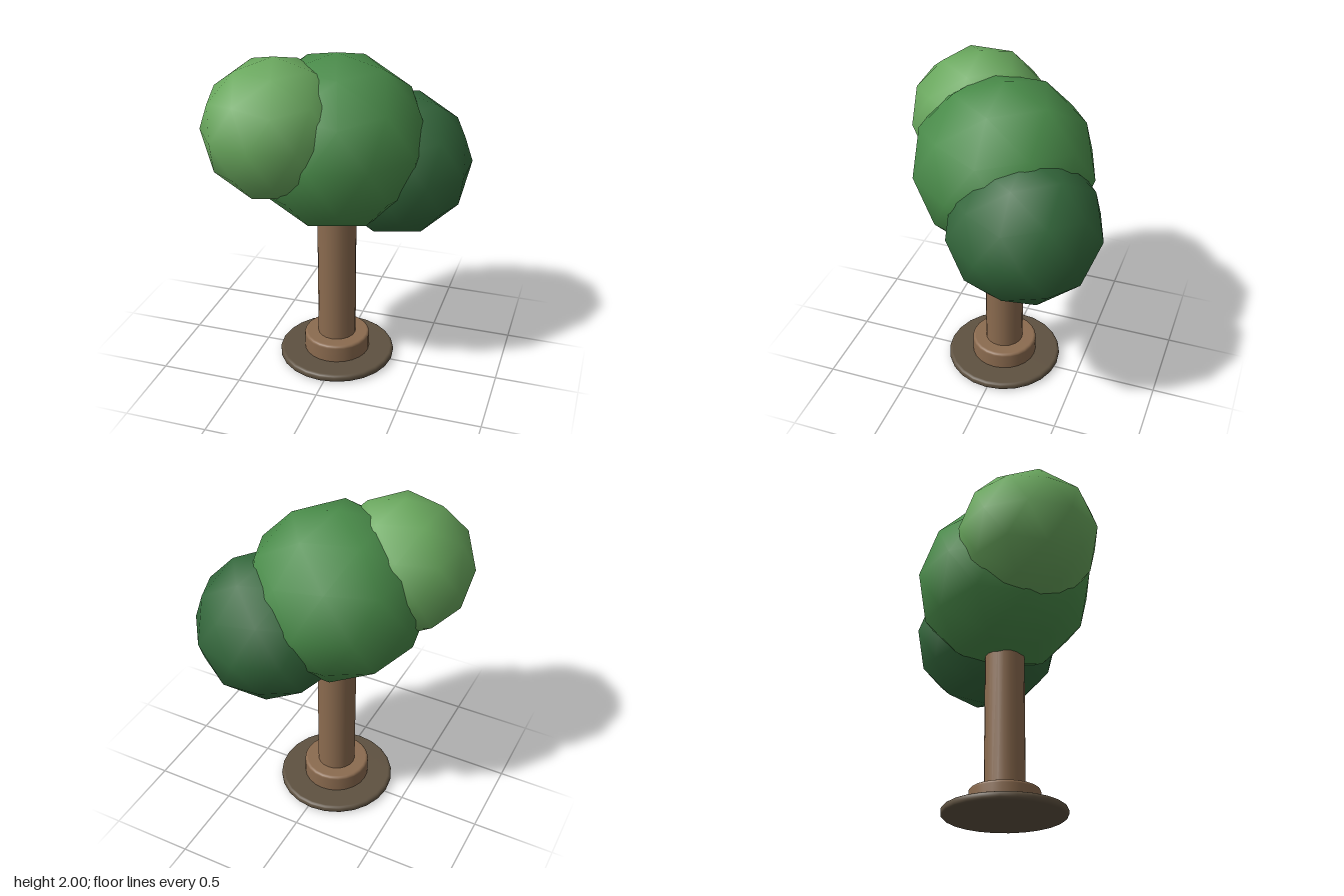
import * as THREE from 'three';

const CX = -0.025, CZ = 0.005; // trunk axis

function addMesh(group, name, geometry, color, x, y, z) {
  const mesh = new THREE.Mesh(geometry, new THREE.MeshStandardMaterial({ color }));
  mesh.name = name;
  mesh.position.set(x, y, z);
  group.add(mesh);
  return mesh;
}

// Closed disc with rounded rims
function roundedDisc(radius, height, bevel, sides) {
  const points = [new THREE.Vector2(0, 0)];
  const steps = 4;
  for (const [cy, start] of [[bevel, -Math.PI / 2], [height - bevel, 0]]) {
    for (let i = 0; i <= steps; i++) {
      const a = start + (i / steps) * Math.PI / 2;
      points.push(new THREE.Vector2(radius - bevel + bevel * Math.cos(a), cy + bevel * Math.sin(a)));
    }
  }
  points.push(new THREE.Vector2(0, height));
  return new THREE.LatheGeometry(points, sides);
}

// Low-poly smooth-shaded ball with a vertex at each pole
function foliageBall(radius, height) {
  const geometry = new THREE.IcosahedronGeometry(1, 1);
  geometry.rotateX(-Math.atan((1 + Math.sqrt(5)) / 2));
  geometry.rotateY(Math.PI / 2);
  geometry.scale(radius, height, radius);
  return geometry;
}

export function createModel() {
  const tree = new THREE.Group();
  tree.name = 'tree';

  // Ground plate, root collar and trunk
  addMesh(tree, 'groundPlate', roundedDisc(0.36, 0.048, 0.02, 24), 0x5e5140, CX, 0, CZ);
  addMesh(tree, 'rootCollar', roundedDisc(0.205, 0.125, 0.018, 24), 0x8b6b4f, CX, 0.035, CZ);
  addMesh(tree, 'trunk', new THREE.CylinderGeometry(0.118, 0.118, 1.1, 20), 0x8b6b4f, CX, 0.6, CZ);

  // Three overlapping crowns
  addMesh(tree, 'middleFoliage', foliageBall(0.54, 0.523), 0x4a8c4a, CX, 1.457, CZ);
  addMesh(tree, 'frontFoliage', foliageBall(0.423, 0.415), 0x6aa85e, -0.31, 1.585, 0.25);
  addMesh(tree, 'backFoliage', foliageBall(0.454, 0.443), 0x34683c, 0.282, 1.272, -0.22);

  return tree;
}
